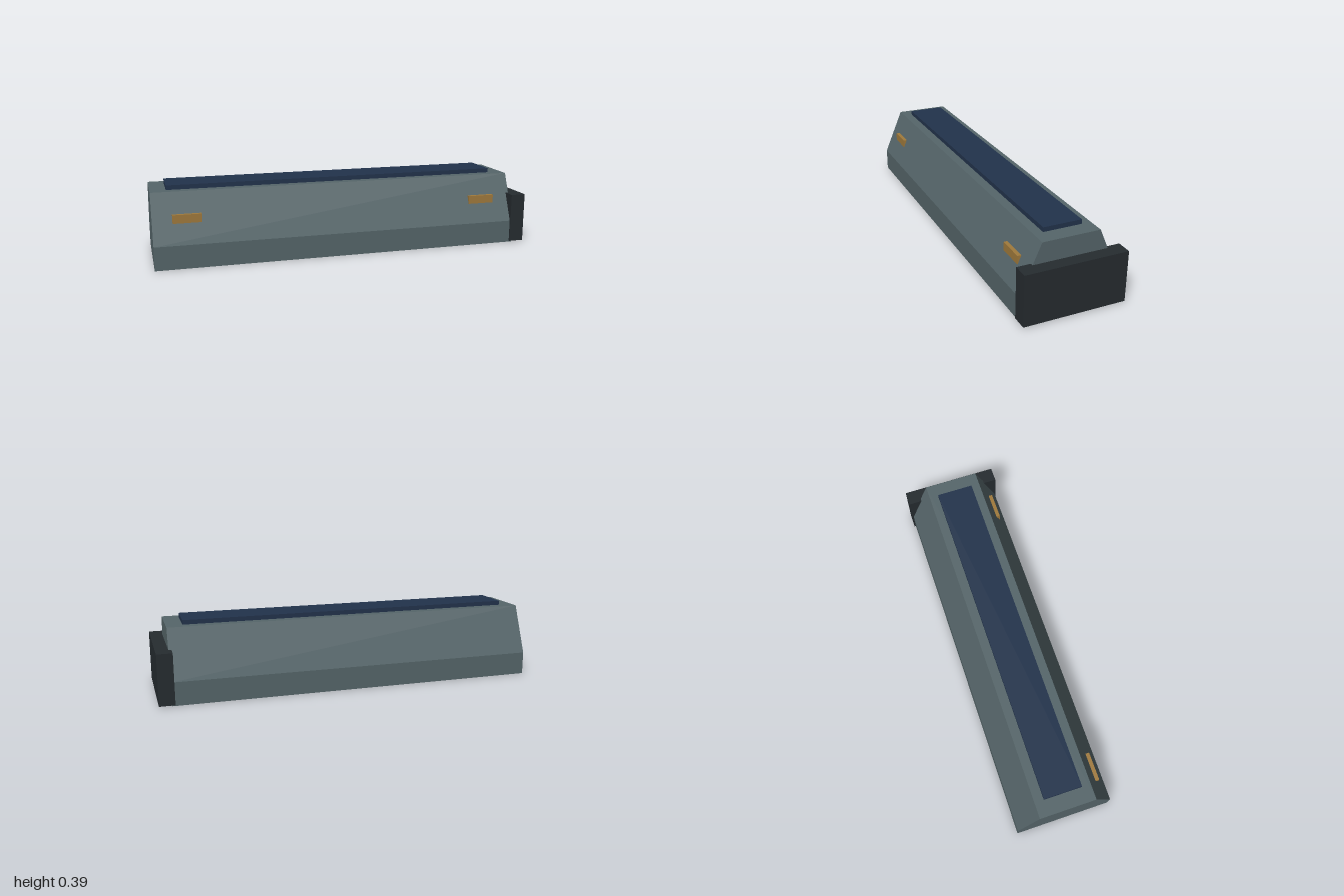
import * as THREE from 'three';

const paint = (color) => new THREE.MeshStandardMaterial({ color, flatShading: true });

// Box given by its lower and upper corners
function boxBetween(name, min, max, material) {
  const size = max.map((v, i) => v - min[i]);
  const mesh = new THREE.Mesh(new THREE.BoxGeometry(...size), material);
  mesh.position.set(...max.map((v, i) => (v + min[i]) / 2));
  mesh.name = name;
  return mesh;
}

export function createModel() {
  const model = new THREE.Group();
  model.name = 'barrier';

  // Long body: upright lower walls, sloped upper walls, flat top
  const half = [[0.253, 0], [0.253, 0.12], [0.146, 0.369]];
  const mirrored = half.map(([z, y]) => [-z, y]).reverse();
  const section = new THREE.Shape([...half, ...mirrored].map(([z, y]) => new THREE.Vector2(z, y)));
  const bodyGeometry = new THREE.ExtrudeGeometry(section, { depth: 1.936, bevelEnabled: false });
  bodyGeometry.rotateY(Math.PI / 2).translate(-1, 0, 0);
  const body = new THREE.Mesh(bodyGeometry, paint(0x56666a));
  body.name = 'body';
  model.add(body);

  // Raised strip along the top
  model.add(boxBetween('topPanel', [-0.92, 0.36, -0.098], [0.853, 0.392, 0.098], paint(0x22334c)));

  // Dark block capping the left end
  model.add(boxBetween('endCap', [0.921, 0.006, -0.261], [1, 0.267, 0.261], paint(0x262c30)));

  // Two small markers on the front slope
  const amber = paint(0xa07a3c);
  for (const [name, x] of [['rightMarker', -0.83], ['leftMarker', 0.76]]) {
    model.add(boxBetween(name, [x - 0.072, 0.221, 0.19], [x + 0.072, 0.264, 0.211], amber));
  }

  return model;
}
